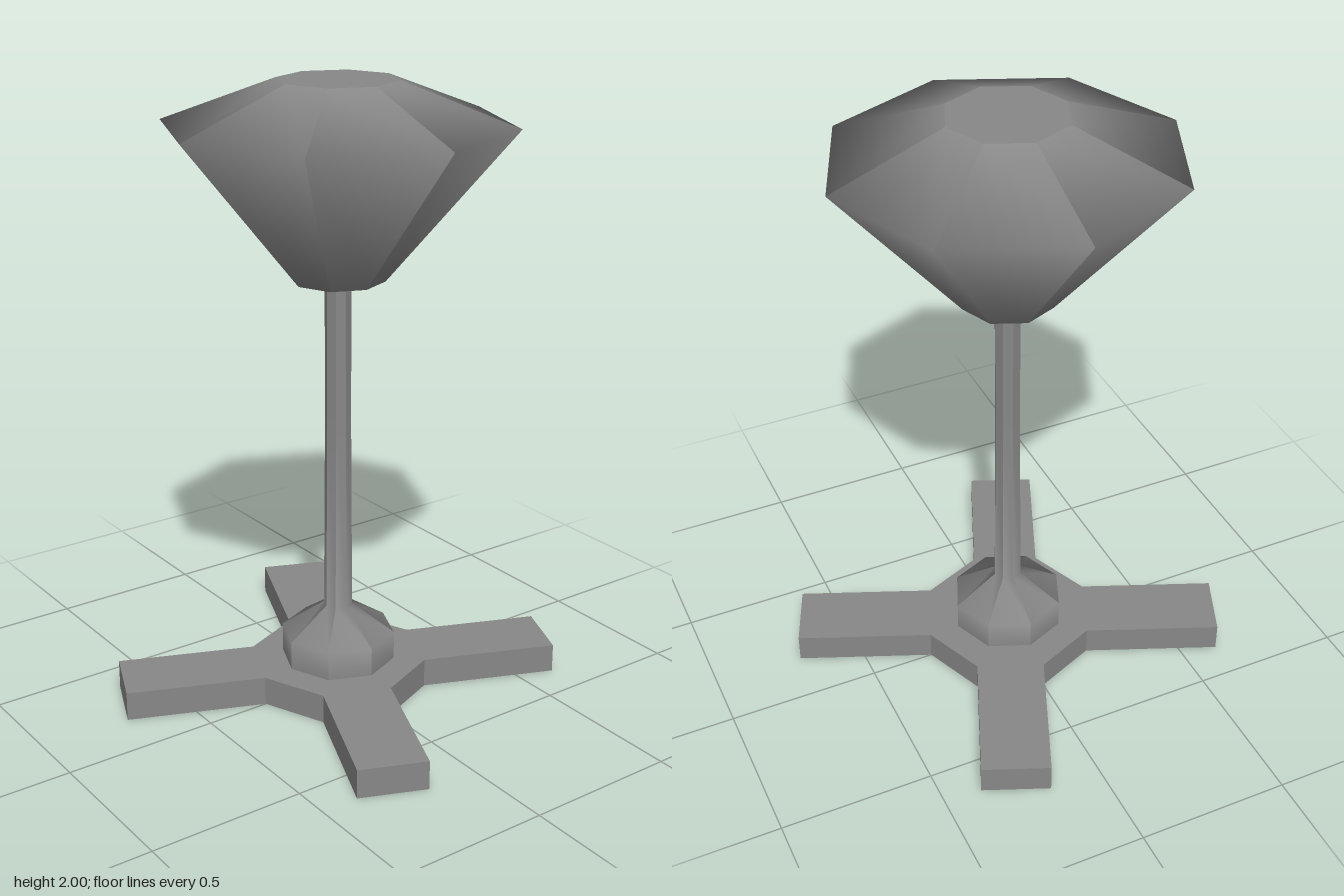
import * as THREE from 'three';
import { mergeGeometries } from 'three/addons/utils/BufferGeometryUtils.js';

const SIDES = 8;

// Eight-sided turned part from [radius, height] pairs, bottom to top:
// each panel is smooth from bottom to top, with a sharp ridge to the next
function turned(profile) {
  const points = profile.map(([r, y]) => new THREE.Vector2(r, y));
  const step = (Math.PI * 2) / SIDES;
  const panels = [];
  for (let i = 0; i < SIDES; i++) {
    const panel = new THREE.LatheGeometry(points, 1, i * step, step);
    panel.computeVertexNormals();
    panels.push(panel);
  }
  return mergeGeometries(panels);
}

export function createModel() {
  const group = new THREE.Group();
  const solid = new THREE.MeshStandardMaterial({ color: 0x888888 });
  const open = new THREE.MeshStandardMaterial({ color: 0x888888, side: THREE.DoubleSide });

  const add = (name, geometry, material = solid) => {
    const mesh = new THREE.Mesh(geometry, material);
    mesh.name = name;
    group.add(mesh);
  };

  // Four-armed foot: octagonal hub with an arm on every other side
  const armLength = 0.718, halfWidth = 0.111, hub = 0.268, footHeight = 0.095;
  const outline = [];
  for (let i = 0; i < 4; i++) {
    const angle = Math.PI / 8 + (i * Math.PI) / 2;
    for (const [r, w] of [[hub, -halfWidth], [armLength, -halfWidth], [armLength, halfWidth], [hub, halfWidth]]) {
      outline.push(new THREE.Vector2(r, w).rotateAround(new THREE.Vector2(), angle));
    }
  }
  const foot = new THREE.ExtrudeGeometry(new THREE.Shape(outline), { depth: footHeight, bevelEnabled: false });
  foot.rotateX(Math.PI / 2).translate(0, footHeight, 0);
  add('foot', foot);

  // Collar drawn in to a sleeve that tapers into the pole
  add('collar', turned([[0.187, footHeight], [0.187, 0.19], [0.047, 0.285], [0.042, 0.94]]));

  // Pole, running up inside the shade
  add('pole', turned([[0.042, 0.25], [0.042, 1.94]]));

  // Shade: flared wall open at the bottom, shallow roof and flat cap
  add('shade', turned([[0.148, 1.385], [0.55, 1.865], [0.19, 2]]), open);
  const cap = new THREE.CircleGeometry(0.19, SIDES);
  cap.rotateX(-Math.PI / 2).translate(0, 2, 0);
  add('shadeCap', cap, open);

  return group;
}
